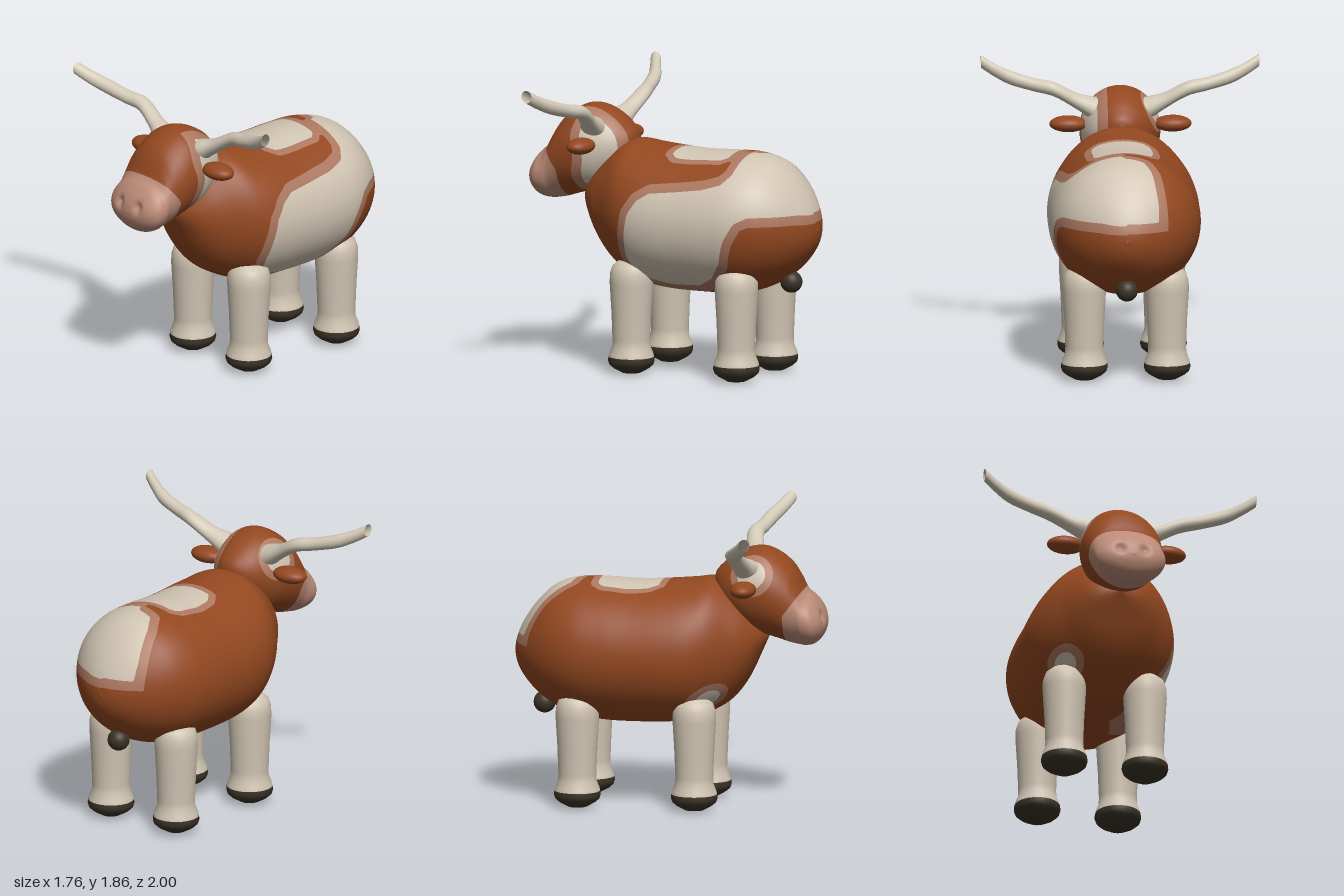
import * as THREE from 'three';

const mat = (name, color, side = THREE.FrontSide) => {
  const m = new THREE.MeshStandardMaterial({ color, side });
  m.name = name;
  return m;
};

// Smooth skin through oval rings; each station is [z, top, bottom, halfWidth, centreX].
function loft(stations, rows, cols) {
  const curve = (f) => new THREE.CatmullRomCurve3(
    stations.map((s) => new THREE.Vector3(...f(s))), false, 'catmullrom', 0.5);
  const a = curve((s) => [s[0], s[1], s[2]]);
  const b = curve((s) => [s[3], s[4] ?? 0, 0]);
  const pos = [], idx = [];
  for (let i = 0; i <= rows; i++) {
    const p = a.getPoint(i / rows), q = b.getPoint(i / rows);
    for (let j = 0; j < cols; j++) {
      const t = (j / cols) * Math.PI * 2;
      pos.push(q.y + q.x * Math.sin(t), (p.y + p.z) / 2 + ((p.y - p.z) / 2) * Math.cos(t), p.x);
      if (i === rows) continue;
      const k = i * cols + j, n = i * cols + ((j + 1) % cols);
      idx.push(k, k + cols, n, k + cols, n + cols, n);
    }
  }
  const g = new THREE.BufferGeometry();
  g.setAttribute('position', new THREE.Float32BufferAttribute(pos, 3));
  g.setIndex(idx);
  g.computeVertexNormals();
  return g;
}

// Part of a polygon where sign * value is negative; vertices are { p, n }.
function clip(poly, val, sign) {
  const out = [];
  poly.forEach((v, i) => {
    const w = poly[(i + 1) % poly.length];
    const fv = sign * val(v.p), fw = sign * val(w.p);
    if (fv <= 0) out.push(v);
    if ((fv < 0 && fw > 0) || (fv > 0 && fw < 0)) {
      const t = fv / (fv - fw);
      out.push({ p: v.p.clone().lerp(w.p, t), n: v.n.clone().lerp(w.n, t).normalize() });
    }
  });
  return out;
}

// Cuts a surface along colour fields; layer i gets material i, the rest gets the last one.
function paint(geo, layers) {
  const P = geo.attributes.position, N = geo.attributes.normal, I = geo.index;
  const bins = Array.from({ length: layers.length + 1 }, () => ({ p: [], n: [] }));
  const emit = (poly, bin) => {
    for (let k = 1; k + 1 < poly.length; k++) {
      for (const v of [poly[0], poly[k], poly[k + 1]]) {
        bin.p.push(v.p.x, v.p.y, v.p.z);
        bin.n.push(v.n.x, v.n.y, v.n.z);
      }
    }
  };
  for (let i = 0; i < I.count; i += 3) {
    let poly = [0, 1, 2].map((k) => ({
      p: new THREE.Vector3().fromBufferAttribute(P, I.getX(i + k)),
      n: new THREE.Vector3().fromBufferAttribute(N, I.getX(i + k)),
    }));
    layers.forEach((f, l) => {
      if (poly.length < 3) return;
      emit(clip(poly, f, 1), bins[l]);
      poly = clip(poly, f, -1);
    });
    emit(poly, bins[layers.length]);
  }
  const g = new THREE.BufferGeometry();
  g.setAttribute('position', new THREE.Float32BufferAttribute(bins.flatMap((b) => b.p), 3));
  g.setAttribute('normal', new THREE.Float32BufferAttribute(bins.flatMap((b) => b.n), 3));
  let start = 0;
  bins.forEach((b, i) => {
    g.addGroup(start, b.p.length / 3, i);
    start += b.p.length / 3;
  });
  return g;
}

// Signed distance to a 2D polygon, negative inside.
function polyDist(pts, x, y) {
  let d = Infinity, inside = false;
  pts.forEach(([ax, ay], i) => {
    const [bx, by] = pts[(i + 1) % pts.length];
    const ex = bx - ax, ey = by - ay;
    const t = THREE.MathUtils.clamp(((x - ax) * ex + (y - ay) * ey) / (ex * ex + ey * ey), 0, 1);
    d = Math.min(d, Math.hypot(x - ax - t * ex, y - ay - t * ey));
    if (ay > y !== by > y && x < ax + ((y - ay) / ey) * ex) inside = !inside;
  });
  return inside ? -d : d;
}

// Coat patches: flank as (z, y), rump and saddle as (x, z)
const flank = [[0.14, 0.68], [0.16, 0.78], [0.15, 0.9], [0.12, 1.05], [0.06, 1.14], [-0.02, 1.19], [-0.2, 1.21],
  [-0.38, 1.235], [-0.5, 1.27], [-0.55, 1.33], [-0.56, 1.7], [-1.3, 1.7], [-1.3, 1.06], [-0.97, 1.07],
  [-0.88, 1.1], [-0.75, 1.1], [-0.63, 1.04], [-0.56, 0.92], [-0.51, 0.77], [-0.42, 0.66], [-0.3, 0.6],
  [-0.1, 0.59], [0.04, 0.62]];
const rump = [[-0.21, -1.3], [-0.2, -0.87], [-0.16, -0.72], [-0.11, -0.63], [0.0, -0.6], [0.2, -0.57],
  [0.6, -0.56], [0.6, -1.3]];
const saddle = [[-0.14, -0.45], [0.16, -0.45], [0.195, -0.41], [0.205, -0.1], [0.16, -0.05], [0.03, -0.05],
  [-0.13, -0.06], [-0.17, -0.12], [-0.185, -0.25], [-0.17, -0.41]];

// Below 0 is the patch itself, 0 to 1 is its soft border.
function coat(p) {
  let f = Math.max(polyDist(rump, p.x, p.z), 1.08 - p.y) / 0.06;
  if (p.y > 1.1) f = Math.min(f, polyDist(saddle, p.x, p.z) / 0.045);
  if (p.x > 0) f = Math.min(f, polyDist(flank, p.z, p.y) / 0.055);
  const chest = Math.hypot(p.x + 0.29, p.y - 0.71, (p.z - 0.3) * 0.7);
  return Math.min(f, (chest - 0.075) / 0.05);
}

function face(p) {
  const wave = 0.012 * Math.sin(p.y * 22);
  const side = Math.max(0.15 - p.x, p.z - 0.565 - wave) / 0.065;
  const hornSpot = (Math.hypot(p.x + 0.24, p.y - 1.53, p.z - 0.54) - 0.1) / 0.05;
  return Math.min(side, hornSpot);
}
const muzzle = (p) => Math.max(0.745, 0.7 + 0.76 * (p.y - 1.2)) - p.z;

export function createModel() {
  const brown = mat('brown coat', 0x934820);
  const cream = mat('cream coat', 0xd0c4b2);
  const border = mat('patch border', 0xac7861);
  const pink = mat('muzzle pink', 0xbb8b77);
  const dark = mat('hoof dark', 0x3a3226);
  const horn = mat('horn', 0xd2c8b6, THREE.DoubleSide);

  const model = new THREE.Group();
  model.name = 'bull';
  const add = (name, geo, material) => {
    const m = new THREE.Mesh(geo, material);
    m.name = name;
    model.add(m);
    return m;
  };

  // Barrel body tapering into the neck
  const bodyGeo = loft([
    [-1, 0.971, 0.967, 0.002], [-0.985, 1.05, 0.885, 0.085], [-0.94, 1.155, 0.8, 0.185], [-0.85, 1.285, 0.7, 0.305],
    [-0.73, 1.39, 0.615, 0.4], [-0.58, 1.435, 0.555, 0.46], [-0.4, 1.437, 0.53, 0.48], [-0.2, 1.43, 0.525, 0.482],
    [0, 1.44, 0.53, 0.48], [0.15, 1.453, 0.555, 0.46], [0.28, 1.465, 0.61, 0.405], [0.4, 1.41, 0.69, 0.32],
    [0.5, 1.32, 0.82, 0.245], [0.58, 1.2, 0.99, 0.15], [0.63, 1.11, 1.1, 0.01]], 110, 96);
  add('body', paint(bodyGeo, [coat, (p) => coat(p) - 1]), [cream, border, brown]);

  // Head with dimpled nostrils
  const headGeo = loft([
    [0.28, 1.462, 1.458, 0.002], [0.295, 1.51, 1.38, 0.07], [0.335, 1.555, 1.29, 0.135], [0.4, 1.61, 1.21, 0.19],
    [0.5, 1.66, 1.14, 0.235], [0.6, 1.671, 1.11, 0.255], [0.69, 1.637, 1.085, 0.254], [0.77, 1.575, 1.06, 0.238],
    [0.82, 1.5, 1.05, 0.228], [0.865, 1.41, 1.045, 0.23], [0.92, 1.362, 1.055, 0.222], [0.965, 1.305, 1.095, 0.175],
    [0.99, 1.252, 1.145, 0.1], [1, 1.202, 1.198, 0.002]], 110, 96);
  const hp = headGeo.attributes.position;
  for (let i = 0; i < hp.count; i++) {
    if (hp.getZ(i) < 0.8) continue;
    const d = Math.hypot((Math.abs(hp.getX(i)) - 0.08) / 0.028, (hp.getY(i) - 1.24) / 0.035);
    hp.setZ(i, hp.getZ(i) - 0.028 * Math.exp(-d * d));
  }
  headGeo.computeVertexNormals();
  add('head', paint(headGeo, [muzzle, face, (p) => face(p) - 1]), [pink, cream, border, brown]);

  // Horn stations: [x, top, bottom, half depth, z]
  const hornPath = [
    [0.12, 1.6, 1.42, 0.09, 0.52], [0.2, 1.62, 1.48, 0.08, 0.51], [0.28, 1.645, 1.54, 0.06, 0.49],
    [0.42, 1.717, 1.625, 0.052, 0.468], [0.55, 1.74, 1.655, 0.046, 0.495], [0.7, 1.783, 1.693, 0.045, 0.53],
    [0.8, 1.822, 1.738, 0.04, 0.575], [0.88, 1.865, 1.785, 0.036, 0.615]];

  // Lathe profiles for the legs and hooves
  const lathe = (pts) => new THREE.LatheGeometry(pts.map(([x, y]) => new THREE.Vector2(x, y)), 32);
  const legGeo = lathe([[0.145, 0.105], [0.14, 0.13], [0.122, 0.175], [0.12, 0.22], [0.127, 0.4], [0.138, 0.58],
    [0.136, 0.64], [0.12, 0.69], [0.085, 0.72], [0.04, 0.733], [0, 0.735]]);
  const hoofGeo = lathe([[0, 0.012], [0.025, 0.002], [0.06, 0.008], [0.115, 0.038], [0.14, 0.06], [0.148, 0.085],
    [0.145, 0.11]]);

  for (const s of [1, -1]) {
    const label = s > 0 ? 'left' : 'right';
    const hornGeo = loft(hornPath.map(([x, t, b, w, z]) => [x, t, b, w, -s * z]), 48, 24);
    hornGeo.rotateY((s * Math.PI) / 2);
    add(label + 'Horn', hornGeo, horn);

    const ear = add(label + 'Ear', new THREE.SphereGeometry(1, 32, 20), brown);
    ear.scale.set(0.12, 0.052, 0.082);
    ear.position.set(s * 0.33, 1.44, 0.515);

    for (const [end, z] of [['Front', 0.19], ['Hind', -0.56]]) {
      add(label + end + 'Leg', legGeo, cream).position.set(s * 0.262, 0, z);
      add(label + end + 'Hoof', hoofGeo, dark).position.set(s * 0.262, 0, z);
    }
  }

  // Small dark ball under the rump
  const ball = add('rearBall', new THREE.SphereGeometry(0.07, 24, 16), dark);
  ball.position.set(0, 0.625, -0.815);
  return model;
}
